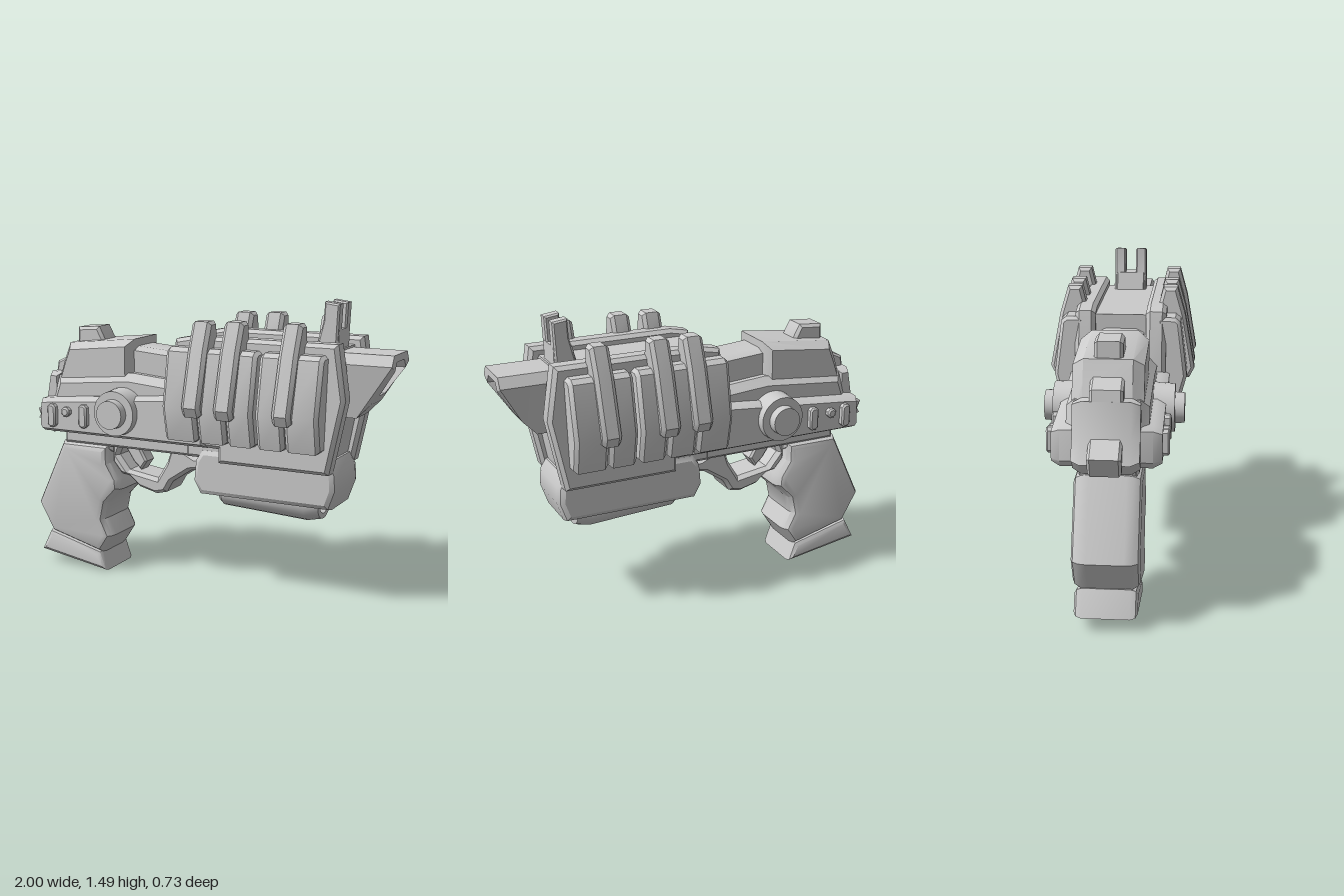
import * as THREE from 'three';
import { toCreasedNormals } from 'three/addons/utils/BufferGeometryUtils.js';

const material = new THREE.MeshStandardMaterial({ color: 0xcccccc });

export function createModel() {
  const model = new THREE.Group();

  const add = (name, geometry) => {
    const flat = geometry.index ? geometry.toNonIndexed() : geometry;
    const mesh = new THREE.Mesh(toCreasedNormals(flat, 0.6), material);
    mesh.name = name;
    model.add(mesh);
    return mesh;
  };

  // Extruded outline whose bevel stays inside the given outline
  const extrude = (pts, depth, size, thick, segments = 1, hole) => {
    const shape = new THREE.Shape(pts.map(p => new THREE.Vector2(...p)));
    if (hole) shape.holes.push(new THREE.Path(hole.map(p => new THREE.Vector2(...p))));
    const geo = new THREE.ExtrudeGeometry(shape, {
      depth: depth - 2 * thick, bevelEnabled: size > 0, bevelSize: size,
      bevelThickness: thick, bevelOffset: -size, bevelSegments: segments,
    });
    return geo.translate(0, 0, thick);
  };

  // Side outline (x, y) between two z values
  const slab = (name, pts, z0, z1, size = 0.015, thick = size, segments = 1, hole) =>
    add(name, extrude(pts, z1 - z0, size, thick, segments, hole).translate(0, 0, z0));

  // Cross outline (z, y) between two x values, on side s
  const crossSlab = (name, pts, x0, x1, s, lean = 0) => {
    const geo = extrude(pts.map(([z, y]) => [-z * s, y]), x1 - x0, 0.016, 0.018);
    geo.rotateY(Math.PI / 2).translate(x0, 0, 0);
    const p = geo.attributes.position;
    for (let i = 0; i < p.count; i++) p.setX(i, p.getX(i) + lean * (p.getY(i) - 0.95));
    geo.computeVertexNormals();
    add(name, geo);
  };

  // Rear receiver
  slab('lowerReceiver', [[-0.88, 0.79], [-0.86, 0.76], [0.1, 0.76], [0.1, 1.02],
    [-0.11, 1.0], [-0.8, 0.94], [-0.87, 0.93]], -0.245, 0.245, 0.02, 0.04);
  slab('upperShoulder', [[-0.85, 0.88], [0, 0.88], [0, 1.07], [-0.12, 1.07], [-0.36, 1.09],
    [-0.8, 1.05]], -0.185, 0.185, 0.04, 0.04);
  slab('upperReceiver', [[-0.86, 0.9], [-0.36, 0.9], [-0.36, 1.26], [-0.75, 1.22],
    [-0.79, 1.12]], -0.16, 0.16, 0.035, 0.05);
  slab('slideNeck', [[-0.42, 1.0], [0, 1.0], [0, 1.2], [-0.1, 1.2], [-0.42, 1.225]],
    -0.115, 0.115, 0.02, 0.04);
  slab('undersideRail', [[-0.78, 0.69], [0.2, 0.69], [0.2, 0.8], [-0.78, 0.8]], -0.14, 0.14, 0.012);
  slab('rearSight', [[-0.74, 1.19], [-0.735, 1.295], [-0.61, 1.305], [-0.57, 1.23],
    [-0.57, 1.19]], -0.065, 0.065, 0.015);

  // Rear spur and its wider foot
  slab('rearSpur', [[-1, 0.84], [-0.9, 0.9], [-0.86, 1.11], [-0.77, 1.15], [-0.75, 0.8],
    [-0.87, 0.73], [-0.9, 0.78], [-0.96, 0.75]], -0.075, 0.075, 0.012);
  slab('rearFoot', [[-0.96, 0.8], [-0.9, 0.9], [-0.87, 1.06], [-0.8, 1.06], [-0.8, 0.8],
    [-0.87, 0.73], [-0.91, 0.79]], -0.15, 0.15, 0.018, 0.04);

  // Forward body: centre block between two raised side rails
  slab('centreBody', [[-0.05, 0.69], [0.7, 0.69], [0.76, 1.02], [0.73, 1.27], [-0.05, 1.27]],
    -0.15, 0.15, 0.015);
  const railOutline = [[-0.12, 0.77], [0.16, 0.76], [0.16, 0.69], [0.735, 0.69], [0.81, 1.05],
    [0.77, 1.31], [0.03, 1.31], [-0.07, 1.29], [-0.12, 1.05]];

  const plate = [[0.18, 0.8], [0.285, 0.8], [0.33, 0.97], [0.295, 1.24], [0.27, 1.26], [0.18, 1.26]];
  const rib = [[0.26, 0.93], [0.34, 0.93], [0.365, 0.98], [0.315, 1.26], [0.275, 1.4],
    [0.205, 1.4], [0.18, 1.3], [0.18, 1.22]];
  const plates = [[-0.09, 0.09], [0.095, 0.245], [0.25, 0.39], [0.405, 0.545], [0.55, 0.72]];
  const ribs = [[0.03, 0.13, 0.97], [0.2, 0.3, 0.985], [0.5, 0.595, 1]];

  for (const s of [1, -1]) {
    const [r0, r1] = s > 0 ? [0.125, 0.225] : [-0.225, -0.125];
    slab('sideRail', railOutline, r0, r1, 0.018, 0.02);
    for (const [a, b] of plates) crossSlab('sidePlate', plate, a, b, s, 0.03);
    for (const [a, b, h] of ribs)
      crossSlab('sideRib', rib.map(([z, y]) => [z, y * h + (1 - h)]), a, b, s, 0.05);

    // Dial and small studs
    const disc = (name, r, z) => add(name, new THREE.CylinderGeometry(r - 0.008, r, z - 0.15, 32)
      .rotateX(s * Math.PI / 2).translate(-0.39, 0.9, s * (z + 0.15) / 2));
    disc('dialBase', 0.122, 0.285);
    disc('dialKnob', 0.08, 0.33);
    for (const [x, y, w, h] of [[-0.775, 0.855, 0.048, 0.12], [-0.69, 0.88, 0.046, 0.048],
      [-0.585, 0.865, 0.048, 0.12]]) {
      const c = 0.014, a = w / 2, b = h / 2;
      const pts = [[-a, -b + c], [-a + c, -b], [a - c, -b], [a, -b + c], [a, b - c], [a - c, b],
        [-a + c, b], [-a, b - c]].map(([u, v]) => [x + u, y + v]);
      slab('stud', pts, s > 0 ? 0.2 : -0.275, s > 0 ? 0.275 : -0.2, 0.008);
    }
    // Front sight prongs
    slab('frontSightProng', [[0.61, 1.26], [0.645, 1.4], [0.65, 1.49], [0.725, 1.48],
      [0.715, 1.26]], s > 0 ? 0.027 : -0.085, s > 0 ? 0.085 : -0.027, 0.008);
  }
  slab('frontSightBase', [[0.6, 1.25], [0.63, 1.36], [0.72, 1.36], [0.72, 1.25]], -0.075, 0.075, 0.005);

  // Barrel: lofted sections, muzzle cut back below, with a recessed bore
  const outer = [[-0.1, 1.26], [-0.13, 1.21], [-0.08, 0.95], [0.08, 0.95], [0.13, 1.21], [0.1, 1.26]];
  const tip = outer.map(([z, y]) => [z, y < 1 ? 1.02 : y]);
  const bore = [[-0.055, 1.225], [-0.08, 1.185], [-0.04, 1.06], [0.04, 1.06], [0.08, 1.185], [0.055, 1.225]];
  const cut = y => 1 - Math.max(0, 1.18 - y) * 0.7;
  const rings = [
    outer.map(([z, y]) => [0.6, y, z]),
    outer.map(([z, y]) => [y < 1 ? 0.82 : 0.85, y, z]),
    tip.map(([z, y]) => [cut(y), y, z]),
    bore.map(([z, y]) => [cut(y), y, z]),
    bore.map(([z, y]) => [0.78, y, z]),
  ];
  const pos = [];
  for (let k = 0; k < rings.length - 1; k++)
    for (let i = 0; i < 6; i++) {
      const j = (i + 1) % 6, [A, B] = [rings[k], rings[k + 1]];
      pos.push(...A[i], ...B[j], ...B[i], ...A[i], ...A[j], ...B[j]);
    }
  const back = rings[4];
  for (let i = 1; i < 5; i++) pos.push(...back[0], ...back[i], ...back[i + 1]);
  // keep the winding outward for either ring direction
  const barrel = new THREE.BufferGeometry();
  barrel.setAttribute('position', new THREE.Float32BufferAttribute(pos, 3));
  add('barrel', barrel).material = new THREE.MeshStandardMaterial({ color: 0xcccccc, side: THREE.DoubleSide });

  // Underbarrel housing and tube
  slab('underHousing', [[0.04, 0.74], [0, 0.68], [-0.01, 0.57], [0.03, 0.5], [0.72, 0.5],
    [0.755, 0.6], [0.75, 0.68], [0.72, 0.74]], -0.165, 0.165, 0.03, 0.05, 2);
  const tube = new THREE.LatheGeometry([[0, 0.1], [0.085, 0.1], [0.1, 0.12], [0.11, 0.57],
    [0.09, 0.64], [0.06, 0.64], [0.05, 0.61], [0, 0.61]].map(p => new THREE.Vector2(...p)), 20);
  add('underTube', tube.rotateZ(-Math.PI / 2).scale(1, 0.9, 1).rotateZ(-0.03).translate(0, 0.52, 0));

  // Trigger guard, trigger and grip
  slab('triggerGuard', [[-0.52, 0.75], [-0.52, 0.6], [-0.47, 0.54], [-0.42, 0.53], [-0.36, 0.48],
    [-0.26, 0.455], [-0.2, 0.47], [-0.165, 0.53], [-0.06, 0.6], [0.05, 0.62], [0.05, 0.675],
    [-0.03, 0.675], [-0.08, 0.7], [-0.06, 0.75]], -0.1, 0.1, 0.018, 0.025, 1,
  [[-0.48, 0.64], [-0.45, 0.715], [-0.165, 0.715], [-0.195, 0.63], [-0.25, 0.54], [-0.42, 0.565]]);
  slab('trigger', [[-0.46, 0.74], [-0.37, 0.74], [-0.375, 0.67], [-0.34, 0.61], [-0.375, 0.56],
    [-0.42, 0.6], [-0.46, 0.66]], -0.045, 0.045, 0.01);
  slab('gripNeck', [[-0.8, 0.66], [-0.5, 0.66], [-0.5, 0.78], [-0.78, 0.78]], -0.125, 0.125, 0.015);
  slab('grip', [[-0.8, 0.7], [-0.97, 0.34], [-0.88, 0.18], [-0.57, 0.1], [-0.505, 0.2],
    [-0.55, 0.29], [-0.53, 0.38], [-0.455, 0.46], [-0.46, 0.52], [-0.51, 0.6], [-0.51, 0.7]],
  -0.155, 0.155, 0.04, 0.07, 3);
  slab('gripBase', [[-0.895, 0.19], [-0.955, 0.07], [-0.54, 0.005], [-0.575, 0.11]],
    -0.145, 0.145, 0.025, 0.035, 2);

  return model;
}
